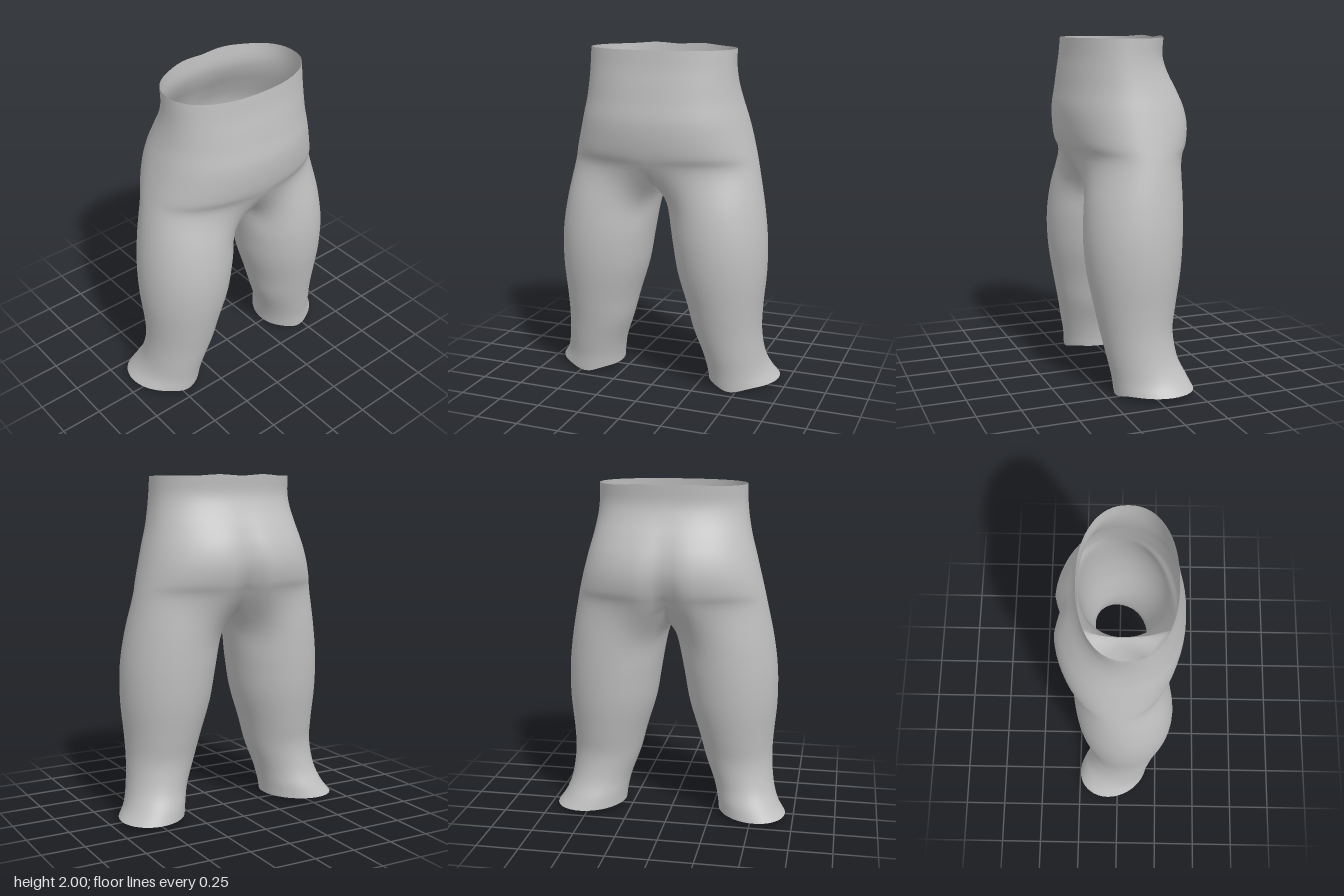
import * as THREE from 'three';
import { mergeVertices } from 'three/addons/utils/BufferGeometryUtils.js';

const OUTER = 32; // columns from the front seam round the outside to the back seam
const INNER = 12; // columns round the inside of a leg
const STEPS = 4; // rows between two key sections

// Torso half sections: y, half width, front z, back z, cleft depth
const TORSO = [
  [1.98, 0.43, 0.31, -0.22, 0.0],
  [1.89, 0.433, 0.32, -0.215, 0.0],
  [1.8, 0.443, 0.335, -0.245, 0.005],
  [1.7, 0.463, 0.35, -0.3, 0.015],
  [1.6, 0.49, 0.365, -0.345, 0.03],
  [1.5, 0.516, 0.362, -0.362, 0.045],
  [1.4, 0.541, 0.345, -0.347, 0.065],
  [1.31, 0.562, 0.31, -0.308, 0.08],
];

// Leg sections: y, inner x, outer x, front z, back z, skew of the ankle
const LEG = [
  [1.1, 0.03, 0.605, 0.305, -0.252, 0],
  [0.9, 0.07, 0.63, 0.325, -0.243, 0],
  [0.7, 0.105, 0.632, 0.315, -0.225, 0],
  [0.5, 0.165, 0.615, 0.28, -0.19, 0],
  [0.35, 0.205, 0.61, 0.25, -0.165, 0.02],
  [0.2, 0.26, 0.625, 0.22, -0.18, 0.05],
  [0.1, 0.285, 0.655, 0.2, -0.22, 0.1],
  [0.03, 0.295, 0.7, 0.19, -0.247, 0.15],
];

// Crotch seam from back to front
const CROTCH = new THREE.CatmullRomCurve3([
  [-0.228, 1.31], [-0.17, 1.235], [-0.08, 1.19], [0.02, 1.18],
  [0.12, 1.195], [0.22, 1.235], [0.31, 1.31],
].map(([z, y]) => new THREE.Vector3(0, y, z)));

const power = (v, p) => Math.sign(v) * Math.abs(v) ** p;

function torsoPoint([y, w, front, back, cleft], t, isWaist) {
  const a = t * Math.PI;
  const x = t === 0 || t === 1 ? 0 : w * power(Math.sin(a), 0.9);
  let z = (front + back) / 2 + (front - back) / 2 * power(Math.cos(a), 0.9);
  if (t > 0.5) z += cleft * Math.exp(-((x / 0.07) ** 2));
  // The waist edge rises a little at either side of the back
  const rise = isWaist ? 0.01 + 0.01 * Math.exp(-(((x - 0.14) / 0.1) ** 2)) * (t > 0.5 ? 1 : 0) : 0;
  return new THREE.Vector3(x, y + rise, z);
}

function legPoint([y, xi, xo, front, back, skew], degrees, isHem) {
  const a = THREE.MathUtils.degToRad(degrees);
  const cz = (front + back) / 2;
  const z = cz + (front - back) / 2 * Math.cos(a);
  const x = (xi + xo) / 2 + (xo - xi) / 2 * Math.sin(a) - skew * (z - cz);
  // The hem dips at the front
  const near = Math.atan2(Math.sin(a), Math.cos(a));
  const dip = isHem ? 0.03 * Math.exp(-near * near * 5) : 0;
  return new THREE.Vector3(x, y - dip, z);
}

// Smooth curve down one column, sampled evenly between its key points
function column(keys) {
  const curve = new THREE.CatmullRomCurve3(keys, false, 'catmullrom', 0.5);
  const count = (keys.length - 1) * STEPS;
  return Array.from({ length: count + 1 }, (_, i) => {
    const p = curve.getPoint(i / count);
    p.x = Math.max(0, p.x);
    return p;
  });
}

function buildTrousers() {
  const legKeys = (deg) => LEG.map((s, i) => legPoint(s, deg, i === LEG.length - 1));
  const outer = [];
  for (let c = 0; c <= OUTER; c++) {
    const t = c / OUTER;
    outer.push(column([...TORSO.map((s, i) => torsoPoint(s, t, i === 0)), ...legKeys(-50 + 280 * t)]));
  }
  const crotchRow = (TORSO.length - 1) * STEPS;

  // Leg inside, joined to the two seam columns
  const inner = [outer[OUTER].slice(crotchRow)];
  for (let c = 1; c < INNER; c++) {
    const s = c / INNER;
    inner.push(column([CROTCH.getPoint(s), ...legKeys(230 + 80 * s)]));
  }
  inner.push(outer[0].slice(crotchRow));

  const positions = [];
  const triangle = (a, b, c) => {
    for (const p of [a, b, c]) positions.push(p.x, p.y, p.z);
    for (const p of [a, c, b]) positions.push(-p.x, p.y, p.z); // mirrored half
  };
  for (const columns of [outer, inner]) {
    for (let c = 0; c < columns.length - 1; c++) {
      const left = columns[c], right = columns[c + 1];
      for (let r = 0; r < left.length - 1; r++) {
        triangle(left[r], left[r + 1], right[r]);
        triangle(right[r], left[r + 1], right[r + 1]);
      }
    }
  }
  let geometry = new THREE.BufferGeometry();
  geometry.setAttribute('position', new THREE.Float32BufferAttribute(positions, 3));
  geometry = mergeVertices(geometry, 1e-4);
  geometry.computeVertexNormals();
  return geometry;
}

export function createModel() {
  const group = new THREE.Group();
  group.name = 'trousers';
  const cloth = new THREE.MeshStandardMaterial({ color: 0xc0c0c0, side: THREE.DoubleSide });
  cloth.name = 'grey cloth';
  const mesh = new THREE.Mesh(buildTrousers(), cloth);
  mesh.name = 'trouserShell';
  group.add(mesh);
  return group;
}
